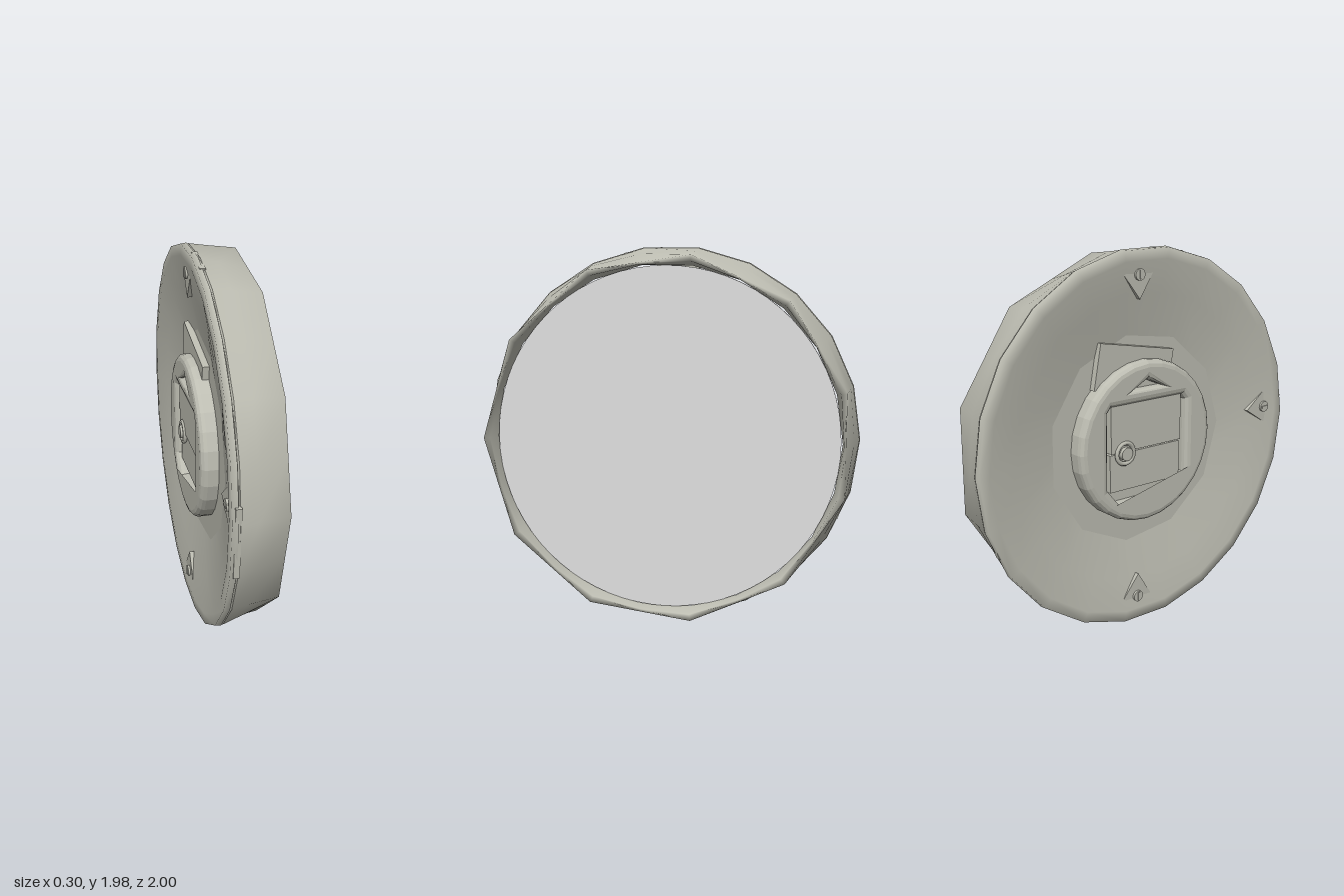
import * as THREE from 'three';
import { mergeVertices } from 'three/addons/utils/BufferGeometryUtils.js';

const SIDES = 22;

export function createModel() {
  const model = new THREE.Group();
  const casing = new THREE.MeshStandardMaterial({ color: 0xbdbdb2 });
  casing.name = 'warm grey casing';
  const dialGrey = new THREE.MeshStandardMaterial({ color: 0xe0e0e0 });
  dialGrey.name = 'pale grey dial';

  const body = new THREE.Group();
  body.name = 'clock';
  body.position.y = 0.993;
  model.add(body);

  function add(parent, name, geometry, material, x = 0, y = 0, z = 0) {
    const mesh = new THREE.Mesh(geometry, material);
    mesh.name = name;
    mesh.position.set(x, y, z);
    parent.add(mesh);
    return mesh;
  }

  // Ring turned around the x axis; points are [radius, x, pull], where pull
  // draws every second corner in so that row has half as many sides.
  function turned(points) {
    const g = new THREE.LatheGeometry(points.map(([r, x]) => new THREE.Vector2(r, x)), SIDES);
    const p = g.attributes.position;
    for (let i = 0; i <= SIDES; i++) {
      points.forEach(([, , pull = 1], j) => {
        const k = i * points.length + j;
        if (i % 2) p.setXYZ(k, p.getX(k) * pull, p.getY(k), p.getZ(k) * pull);
      });
    }
    g.rotateZ(-Math.PI / 2);
    g.deleteAttribute('uv');
    g.deleteAttribute('normal');
    const merged = mergeVertices(g);
    merged.computeVertexNormals();
    return merged;
  }

  // Casing: each section is smooth, with sharp edges between sections
  const half = Math.cos(Math.PI / 11);
  const sections = {
    backFloor: [[0, -0.06], [0.56, -0.06, 0.96]],
    backDish: [[0.56, -0.06, 0.96], [0.78, -0.1, 0.98], [0.94, -0.132], [0.996, -0.13], [1, -0.1]],
    seam: [[1, -0.1], [0.988, -0.098], [0.988, -0.092], [0.996, -0.09]],
    rim: [[0.996, -0.09], [0.982, 0, 0.985], [0.962, 0.15, half], [0.93, 0.142, half + 0.022], [0.908, 0.06]],
  };
  for (const [name, points] of Object.entries(sections)) add(body, name, turned(points), casing);

  // Dial
  const dial = new THREE.CylinderGeometry(0.9, 0.9, 0.02, 72);
  dial.rotateZ(-Math.PI / 2);
  add(body, 'dial', dial, dialGrey, 0.07);

  // Tabs set into the rim
  for (const [angle, length] of [[-0.1, 0.38], [1.42, 0.2], [3.5, 0.18]]) {
    const tab = add(body, 'rimTab', new THREE.BoxGeometry(0.03, length, 0.03), casing,
      -0.1, Math.sin(angle) * 0.972, Math.cos(angle) * 0.972);
    tab.rotation.x = -angle;
  }

  // Back fittings: local x runs along the model's z, local z points out of the back
  const back = new THREE.Group();
  back.name = 'backFittings';
  back.rotation.y = -Math.PI / 2;
  back.position.x = -0.06;
  body.add(back);

  const outline = (points, Type) => new Type(points.map(([x, y]) => new THREE.Vector2(x, y)));

  // Round housing with a chamfered opening and a hanging slot
  const housing = new THREE.Shape().absarc(0, 0, 0.395, 0, Math.PI * 2);
  housing.holes.push(
    outline([[-0.29, -0.23], [-0.19, -0.35], [0.19, -0.35], [0.29, -0.23], [0.29, 0.2], [0.25, 0.25],
      [-0.25, 0.25], [-0.29, 0.2]].reverse(), THREE.Path),
    outline([[-0.15, 0.27], [0, 0.37], [0.15, 0.27]], THREE.Path));
  add(back, 'movementHousing', new THREE.ExtrudeGeometry(housing, {
    depth: 0.055, bevelEnabled: true, bevelSize: 0.035, bevelThickness: 0.035, bevelSegments: 3, curveSegments: 14,
  }), casing);
  const hanger = new THREE.BoxGeometry(0.48, 0.24, 0.035);
  add(back, 'hangerPlate', hanger, casing, -0.05, 0.38, 0.0175).rotation.z = -0.18;

  // Battery cover in two halves with a setting knob
  add(back, 'batteryCover', new THREE.BoxGeometry(0.46, 0.26, 0.07), casing, 0, 0.1, 0.035);
  add(back, 'batteryCover', new THREE.BoxGeometry(0.46, 0.2, 0.06), casing, 0, -0.14, 0.03);
  const disc = (r, depth) => new THREE.CylinderGeometry(r, r, depth, 16).rotateX(Math.PI / 2);
  add(back, 'settingKnob', disc(0.035, 0.03), casing, -0.14, -0.04, 0.075);
  add(back, 'knobRing', new THREE.TorusGeometry(0.055, 0.012, 6, 16), casing, -0.14, -0.04, 0.07);

  // Screw lugs around the dish
  const lugShape = outline([[0.74, 0], [0.92, -0.13], [0.92, 0.13]], THREE.Shape);
  for (const angle of [0.05, Math.PI / 2 + 0.05, -Math.PI / 2 - 0.06]) {
    const lug = new THREE.Group();
    lug.name = 'screwLug';
    lug.rotation.z = angle;
    back.add(lug);
    add(lug, 'lugPad', new THREE.ExtrudeGeometry(lugShape, { depth: 0.06, bevelEnabled: false }), casing);
    add(lug, 'screwHead', disc(0.03, 0.02), casing, 0.865, 0, 0.062);
    add(lug, 'screwRidge', new THREE.BoxGeometry(0.045, 0.01, 0.008), casing, 0.865, 0, 0.073);
  }

  return model;
}
